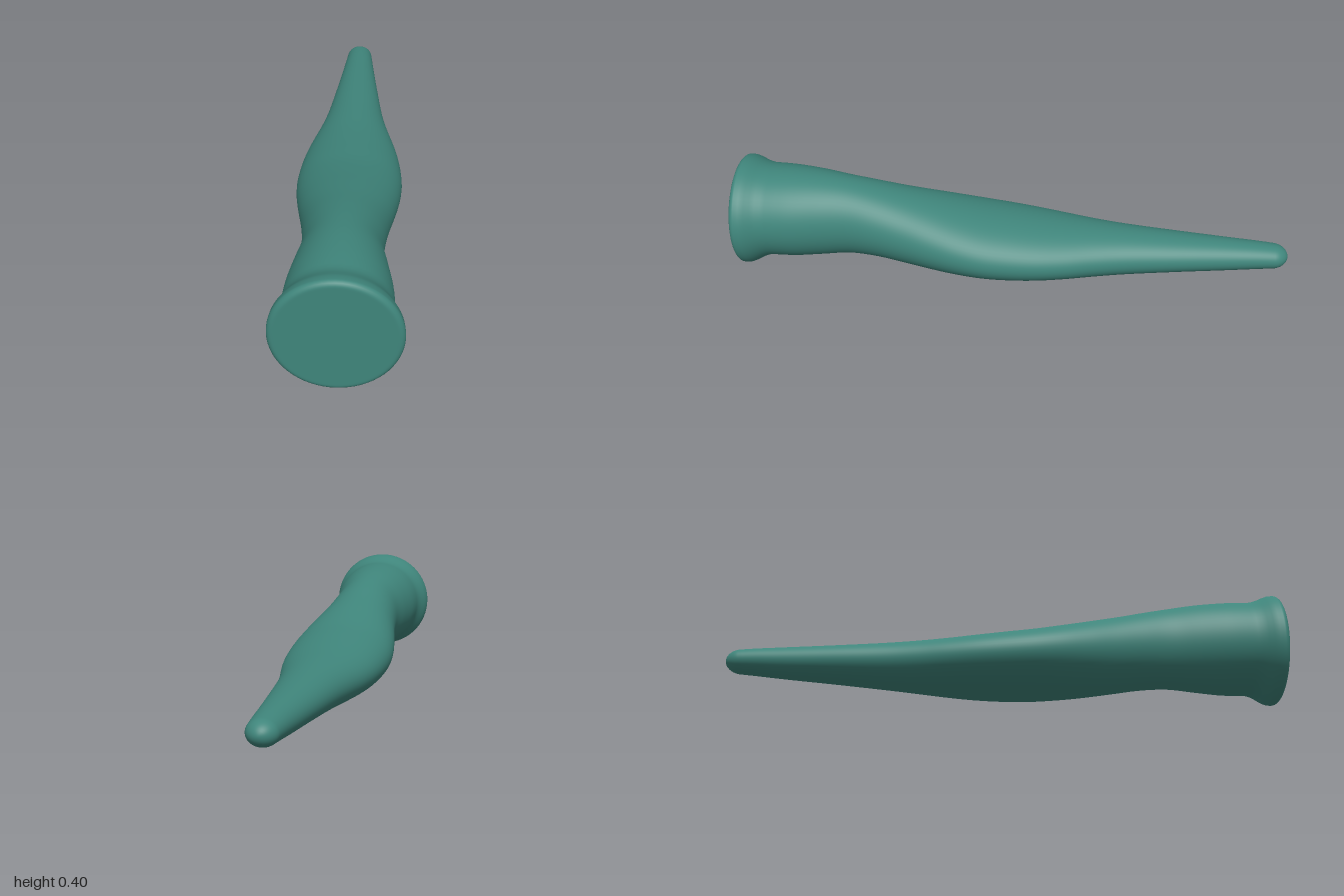
import * as THREE from 'three';

// Cross-section stations along the handle: z, top y, bottom y, half width
const STATIONS = [
  [-1.0, 0.168, 0.090, 0.046], [-0.9, 0.176, 0.081, 0.056], [-0.8, 0.181, 0.071, 0.066],
  [-0.6, 0.190, 0.054, 0.088], [-0.4, 0.200, 0.036, 0.113], [-0.3, 0.206, 0.027, 0.132],
  [-0.2, 0.213, 0.019, 0.155], [-0.1, 0.223, 0.013, 0.174], [0, 0.235, 0.010, 0.185],
  [0.1, 0.248, 0.011, 0.189], [0.2, 0.267, 0.016, 0.182], [0.3, 0.289, 0.024, 0.167],
  [0.4, 0.311, 0.036, 0.150], [0.5, 0.334, 0.049, 0.138], [0.6, 0.354, 0.053, 0.134],
  [0.7, 0.369, 0.044, 0.150], [0.8, 0.377, 0.036, 0.166], [0.86, 0.379, 0.036, 0.170],
  [0.9, 0.380, 0.034, 0.173], [0.93, 0.389, 0.020, 0.184], [0.96, 0.402, 0.004, 0.199],
  [0.98, 0.405, 0.001, 0.202], [1.0, 0.405, 0.001, 0.202],
];
const SIDES = 64;
const TIP = 0.05;   // length of the rounded tip
const EDGE = 0.018; // rounding of the pommel edge

function createHandleGeometry() {
  const spline = new THREE.CubicInterpolant(
    STATIONS.map((s) => s[0]), STATIONS.flatMap((s) => s.slice(1)), 3, new Float32Array(3));

  // Ring positions: rounded tip, long body, rounded pommel edge
  const levels = [];
  for (let i = 0; i < 10; i++) levels.push(-1 + TIP * (1 - Math.cos((i / 10) * Math.PI / 2)));
  for (let i = 0; i <= 110; i++) levels.push(-1 + TIP + (2 - TIP - EDGE) * (i / 110));
  for (let i = 1; i <= 6; i++) levels.push(1 - EDGE + EDGE * Math.sin((i / 6) * Math.PI / 2));

  const rings = levels.map((z) => {
    const [top, bottom, width] = spline.evaluate(z);
    const t = Math.max(0, (TIP - 1 - z) / TIP);
    const scale = Math.sqrt(Math.max(0, 1 - t * t));
    const e = Math.max(0, z - (1 - EDGE));
    const inset = EDGE - Math.sqrt(Math.max(0, EDGE * EDGE - e * e));
    return { z, y: (top + bottom) / 2, w: width * scale - inset, h: ((top - bottom) / 2) * scale - inset };
  });
  // Flat end face
  const last = rings[rings.length - 1];
  for (const k of [0.97, 0.5, 0]) rings.push({ z: 1, y: last.y, w: last.w * k, h: last.h * k });

  const positions = [], indices = [];
  rings.forEach((r, j) => {
    for (let i = 0; i < SIDES; i++) {
      const a = (i / SIDES) * Math.PI * 2;
      positions.push(r.w * Math.cos(a), r.y + r.h * Math.sin(a), r.z);
      if (j === 0) continue;
      const n = (i + 1) % SIDES, p = (j - 1) * SIDES, q = j * SIDES;
      if (j > 1) indices.push(p + i, p + n, q + n);
      if (j < rings.length - 1) indices.push(p + i, q + n, q + i);
      else indices.push();
    }
  });
  const geometry = new THREE.BufferGeometry();
  geometry.setAttribute('position', new THREE.Float32BufferAttribute(positions, 3));
  geometry.setIndex(indices);
  geometry.computeVertexNormals();

  // Exact normals at the two poles
  const normals = geometry.attributes.normal;
  for (let i = 0; i < SIDES; i++) {
    normals.setXYZ(i, 0, 0, -1);
    normals.setXYZ((rings.length - 1) * SIDES + i, 0, 0, 1);
  }
  return geometry;
}

export function createModel() {
  const group = new THREE.Group();
  group.name = 'taperedHandle';
  const teal = new THREE.MeshStandardMaterial({ color: 0x3f857b });
  teal.name = 'teal';
  const handle = new THREE.Mesh(createHandleGeometry(), teal);
  handle.name = 'handleBody';
  group.add(handle);
  return group;
}
